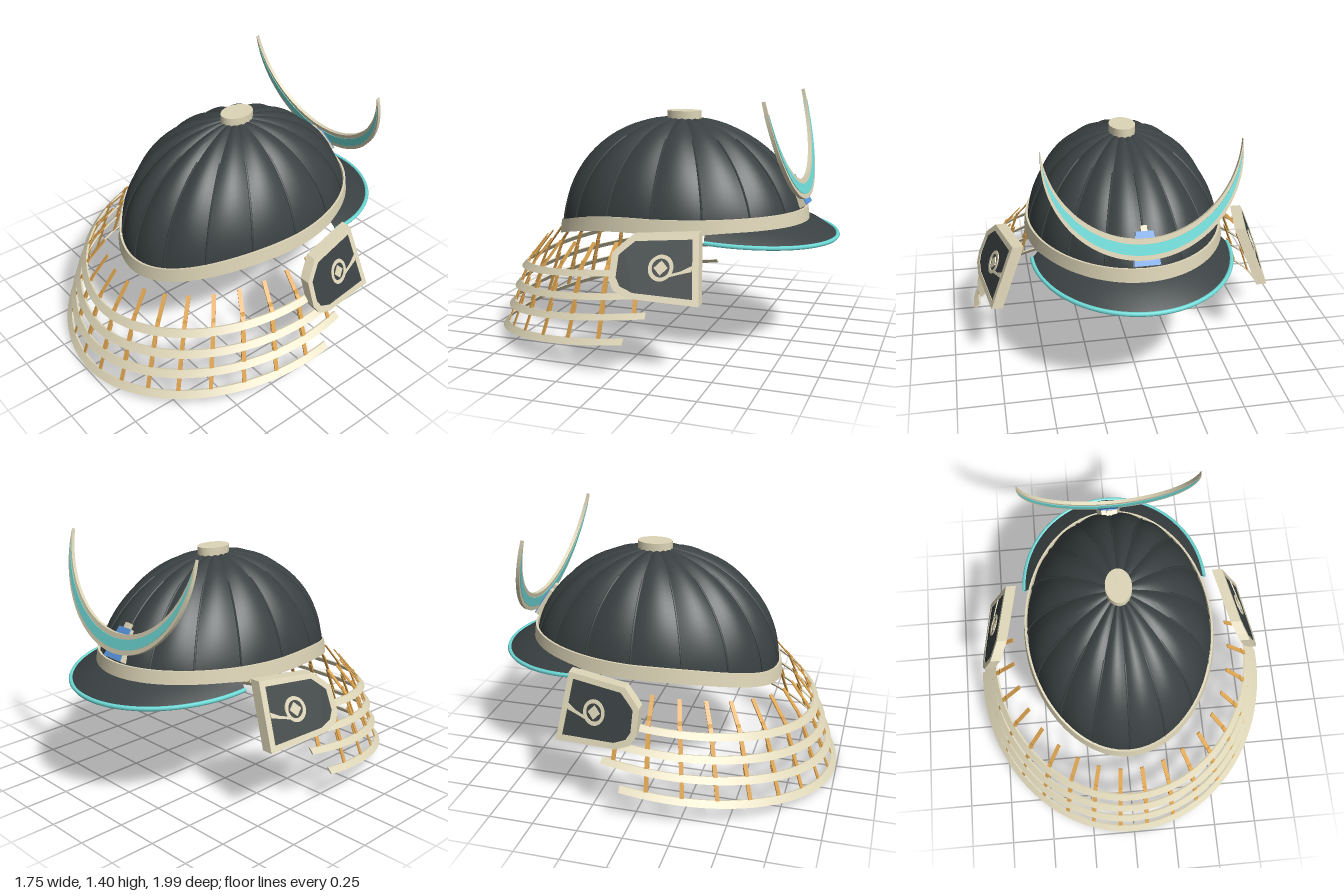
import * as THREE from 'three';
import { toCreasedNormals } from 'three/addons/utils/BufferGeometryUtils.js';

const mat = (name, color) => {
  const m = new THREE.MeshStandardMaterial({ color, side: THREE.DoubleSide });
  m.name = name;
  return m;
};
const V = (x, y, z) => new THREE.Vector3(x, y, z);
const { sin, cos, PI, max, pow } = Math;

// Skin a list of cross-sections; loop joins the ends of each section, cap closes quad ends
function loft(rows, loop = false, cap = false, crease = 0.6) {
  const n = rows[0].length, pos = [], idx = [];
  rows.forEach(r => r.forEach(p => pos.push(p.x, p.y, p.z)));
  for (let i = 0; i < rows.length - 1; i++)
    for (let j = 0; j < (loop ? n : n - 1); j++) {
      const k = (j + 1) % n, a = i * n + j, b = i * n + k, c = a + n, d = b + n;
      idx.push(a, c, b, b, c, d);
    }
  if (cap) {
    const e = (rows.length - 1) * n;
    idx.push(0, 1, 2, 0, 2, 3, e, e + 2, e + 1, e, e + 3, e + 2);
  }
  const g = new THREE.BufferGeometry();
  g.setAttribute('position', new THREE.Float32BufferAttribute(pos, 3));
  g.setIndex(idx);
  return toCreasedNormals(g, crease);
}

// Bowl rule: a is the angle round the bowl (0 = +z), t runs from crown to rim
const CZ = -0.09, RX = 0.533, RZ = 0.715;
const rimTop = a => 0.773 - 0.138 * pow(max(0, cos(a)), 2.5) + 0.016 * max(0, -cos(a));
function bowl(a, t, lift = 0) {
  const y0 = rimTop(a) - 0.074, c = cos(a);
  const p = 1.2 + (c > 0 ? -0.22 : -0.1) * c;
  const f = sin(t * PI / 2), h = pow(max(0, cos(t * PI / 2)), p), s = 1 + lift;
  return V(RX * f * sin(a) * s, y0 + (1.26 - y0) * h * (1 + lift * 0.7), CZ + RZ * f * c * s);
}
const rim = (a, off, y) => V((RX + off) * sin(a), y, CZ + (RZ + off) * cos(a));

export function createModel() {
  const root = new THREE.Group();
  const dark = mat('dark iron', 0x3a4142), tan = mat('pale ivory', 0xddd5b7);
  const orange = mat('orange cord', 0xdfa550), cyan = mat('turquoise', 0x70dfdc), blue = mat('blue', 0x5894dc);
  const add = (name, geo, m, parent = root) => {
    const mesh = new THREE.Mesh(geo, m);
    mesh.name = name;
    parent.add(mesh);
    return mesh;
  };

  // Bowl: sixteen bulging panels with a fine rib on every seam
  const N = 16, step = 2 * PI / N;
  for (let k = 0; k < N; k++) {
    const rows = [];
    for (let i = 0; i <= 20; i++) {
      const row = [];
      for (let j = 0; j <= 8; j++) {
        const t = i / 20;
        row.push(bowl((k + j / 8) * step, t, 0.035 * sin(PI * j / 8) * sin(PI * pow(t, 0.8))));
      }
      rows.push(row);
    }
    add('bowlPanel', loft(rows, false, false, 1), dark);
    const pts = [];
    for (let i = 0; i <= 10; i++) pts.push(bowl(k * step, 0.35 + 0.58 * i / 10, 0.004));
    add('seamRib', new THREE.TubeGeometry(new THREE.CatmullRomCurve3(pts), 16, 0.006, 5), dark);
  }

  // Rim band round the bowl
  const band = [];
  for (let i = 0; i <= 96; i++) {
    const a = i / 96 * 2 * PI, y = rimTop(a);
    band.push([rim(a, 0.001, y), rim(a, 0.013, y), rim(a, 0.023, y - 0.078), rim(a, 0.004, y - 0.078)]);
  }
  add('rimBand', loft(band, true), tan);

  // Crown knob
  const knob = add('crownKnob', new THREE.CylinderGeometry(1, 1, 0.05, 32), tan);
  knob.scale.set(0.072, 1, 0.1);
  knob.position.set(0, 1.275, -0.1);

  // Visor with a turquoise edge
  const visor = [], edge = [];
  for (let i = 0; i <= 48; i++) {
    const s = i / 24 - 1, b = s * 1.16, c = s * PI / 2;
    const inner = V(RX * sin(b), 0.725, CZ - RZ * cos(b));
    const outer = V(0.543 * sin(c), 0.67 - 0.04 * cos(c), -0.39 - 0.597 * cos(c));
    const mid = inner.clone().lerp(outer, 0.5);
    mid.y += 0.014 * cos(c);
    visor.push([inner, mid, outer]);
    edge.push(outer);
  }
  add('visor', loft(visor, false, false, 1), dark);
  add('visorEdge', new THREE.TubeGeometry(new THREE.CatmullRomCurve3(edge), 64, 0.012, 6), cyan);

  // Crescent crest, tilted back over the bowl
  const crest = new THREE.Group();
  crest.name = 'crescentCrest';
  crest.position.set(0, 0.84, -0.818);
  crest.rotation.x = 0.245;
  crest.scale.y = 1.04;
  root.add(crest);
  // Tips at (w, h), lowest points of the two arcs at b1 and b2
  const crescent = (w, h, b1, b2, depth) => {
    const s = new THREE.Shape();
    const arc = (b, back) => {
      const c = (w * w + h * h - b * b) / (2 * (h - b)), e = Math.asin((h - c) / (c - b));
      s.absarc(0, c, c - b, back ? -PI - e : e, back ? e : -PI - e, !back);
    };
    arc(b1, false);
    arc(b2, true);
    return new THREE.ExtrudeGeometry(s, { depth, bevelEnabled: false, curveSegments: 40 }).translate(0, 0, -depth / 2);
  };
  add('crescentFrame', crescent(0.502, 0.556, 0, 0.1055, 0.02), tan, crest);
  add('crescentInlay', crescent(0.497, 0.49, 0.025, 0.08, 0.026), cyan, crest);

  // Crest holder
  const holder = new THREE.Group();
  holder.name = 'crestHolder';
  holder.position.set(0, 0.8, -0.81);
  holder.rotation.x = 0.57;
  root.add(holder);
  const trapezoid = (w, top, h, depth, z) => {
    const s = new THREE.Shape([[-w, 0], [w, 0], [top, h], [-top, h]].map(p => new THREE.Vector2(...p)));
    return new THREE.ExtrudeGeometry(s, { depth, bevelEnabled: false }).translate(0, 0, z);
  };
  add('holderFace', trapezoid(0.069, 0.046, 0.175, 0.006, -0.026), blue, holder);
  add('holderBody', trapezoid(0.069, 0.046, 0.175, 0.04, -0.02), tan, holder);
  add('holderTip', trapezoid(0.022, 0.016, 0.205, 0.03, -0.02), tan, holder);

  // Side wings: leaning hollow frames with a dark panel and a ring ornament; u runs toward the visor
  const wing = new THREE.Group();
  wing.name = 'leftWing';
  const outline = [[-0.03, 0.51], [0, 0.46], [0.08, 0.425], [0.435, 0.4], [0.395, 0.745], [0.06, 0.725], [0, 0.67], [-0.03, 0.64]];
  const poly = pts => new THREE.Shape(pts.map(p => new THREE.Vector2(p[0], p[1])));
  const inset = outline.map(([u, v]) => [0.2 + (u - 0.2) * 0.85, 0.575 + (v - 0.575) * 0.82]);
  const lean = (shape, from, to) => {
    const g = new THREE.ExtrudeGeometry(shape, { depth: to - from, bevelEnabled: false, curveSegments: 16 });
    const p = g.attributes.position;
    for (let i = 0; i < p.count; i++) {
      const u = p.getX(i), v = p.getY(i), d = p.getZ(i) + from;
      p.setXYZ(i, 0.72 + (0.745 - v) * 0.41 - 0.19 * u + d, v, -u);
    }
    g.computeVertexNormals();
    return g;
  };
  const frame = poly(outline);
  frame.holes.push(new THREE.Path(inset.map(p => new THREE.Vector2(p[0], p[1])).reverse()));
  add('wingFrame', lean(frame, -0.06, 0), tan, wing);
  add('wingPanel', lean(poly(inset), -0.012, -0.003), dark, wing);
  const ring = new THREE.Shape().absarc(0.225, 0.575, 0.063, 0, 2 * PI);
  ring.holes.push(new THREE.Path().absarc(0.225, 0.575, 0.045, 0, 2 * PI, true));
  const diamond = poly([[0.19, 0.575], [0.225, 0.54], [0.26, 0.575], [0.225, 0.61]]);
  const stem = poly([[0.276, 0.535], [0.33, 0.55], [0.38, 0.562], [0.382, 0.592], [0.325, 0.562], [0.276, 0.548]]);
  for (const [name, shape] of [['wingRing', ring], ['wingDiamond', diamond], ['wingStem', stem]])
    add(name, lean(shape, -0.003, 0.002), tan, wing);
  root.add(wing);
  const other = wing.clone();
  other.name = 'rightWing';
  other.scale.x = -1;
  root.add(other);

  // Neck guard: [half width, depth, lowest y, rise to the sides, forward end]; the first is the hidden hem
  const tiers = [
    [0.63, 0.72, 0.55, 0.115, -0.1],
    [0.78, 0.87, 0.366, 0.155, -0.28],
    [0.815, 0.915, 0.25, 0.155, -0.23],
    [0.845, 0.955, 0.132, 0.172, -0.17],
    [0.875, 0.995, 0.003, 0.178, -0.06]
  ];
  const on = ([w, d, y, k], a, off = 0, up = 0) =>
    V((w + off) * sin(a), y + k * pow(1 - cos(a), 0.72) + up, (d + off) * cos(a));
  const reach = t => Math.acos(t[4] / t[1]);
  tiers.slice(1).forEach(t => {
    const rows = [], end = reach(t);
    for (let i = 0; i <= 64; i++) {
      const a = (i / 32 - 1) * end, h = 0.026 + 0.01 * max(0, cos(a));
      rows.push([on(t, a, -0.04, h - 0.002), on(t, a, -0.03, h), on(t, a), on(t, a, -0.012, -0.002)]);
    }
    add('neckGuardRing', loft(rows, true, true), tan);
  });

  // Cords hanging from tier to tier
  const cordGeo = new THREE.BoxGeometry(0.023, 1, 0.006);
  for (let i = 0; i < 4; i++)
    for (let j = 0; j < 18; j++) {
      const a = (j - 8.5) * 0.198;
      if (Math.abs(a) > reach(tiers[i + 1])) continue;
      const top = i ? on(tiers[i], a, -0.06, 0.07) : on(tiers[0], a);
      const low = on(tiers[i + 1], a, -0.03, 0.026);
      const dir = top.clone().sub(low), len = dir.length();
      dir.normalize();
      const side = V(cos(a), 0, -sin(a));
      const out = side.clone().cross(dir).normalize();
      side.crossVectors(dir, out);
      const cord = add('cord', cordGeo, orange);
      cord.quaternion.setFromRotationMatrix(new THREE.Matrix4().makeBasis(side, dir, out));
      cord.scale.y = len;
      cord.position.copy(top).lerp(low, 0.5);
    }
  return root;
}
